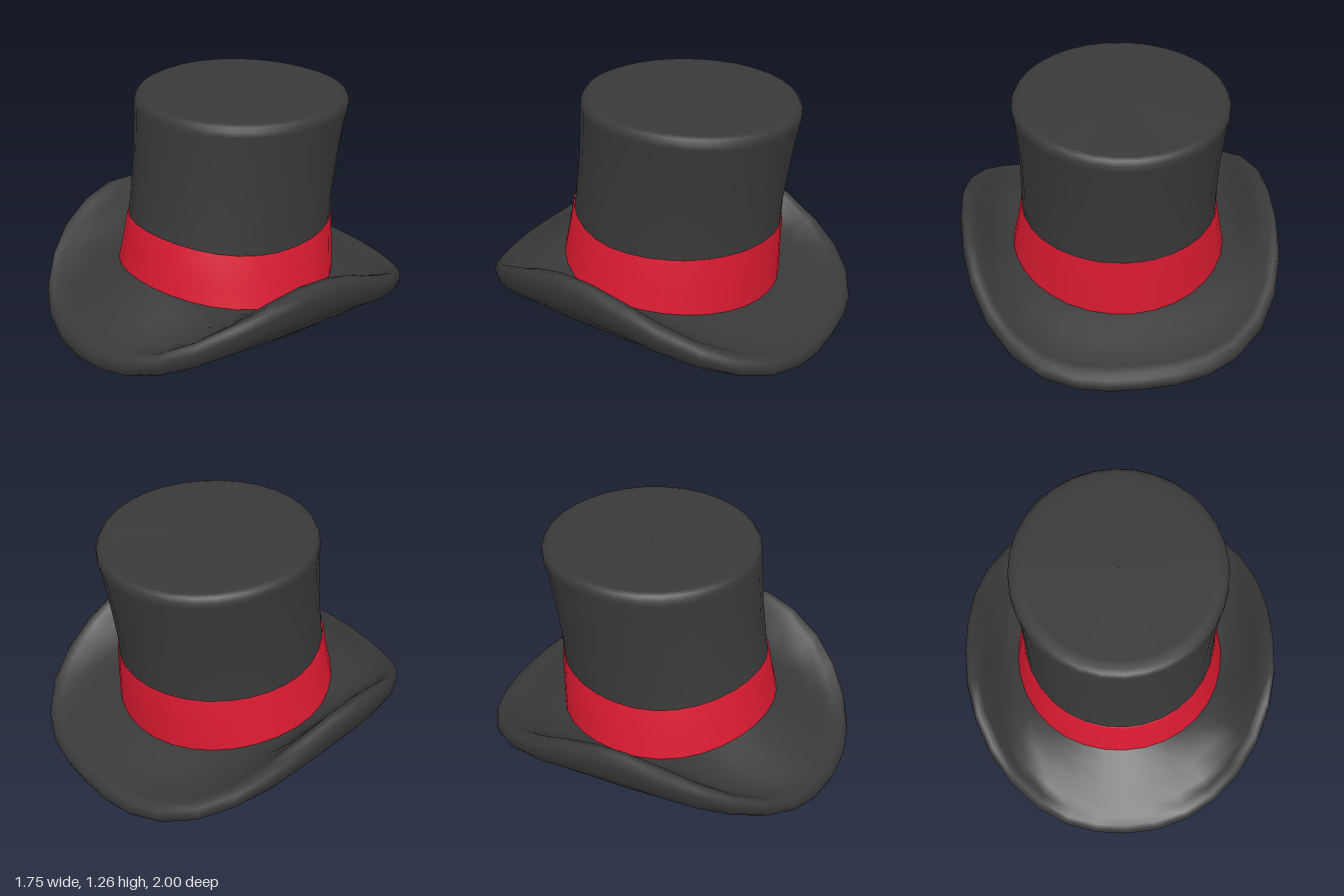
import * as THREE from 'three';

const SEGMENTS = 32;
const PEAK = 0.15; // the sides curl highest slightly ahead of the middle

// One oval ring: half width, front z, back z, heights at side, front and back,
// how quickly the side lift fades to front and back, and how square the back is.
function ringPoint([rx, zf, zb, ySide, yFront, yBack, fadeFront = 1, fadeBack = 1, square = 2], angle) {
  const s = Math.sin(angle), c = Math.cos(angle);
  const e = c > 0 ? 2 + (square - 2) * 0.35 : square;
  const k = Math.pow(Math.pow(Math.abs(s), e) + Math.pow(Math.abs(c), e), -1 / e);
  const ahead = c > PEAK;
  const drop = ahead ? (c - PEAK) / (1 - PEAK) : (PEAK - c) / (1 + PEAK);
  const rise = Math.pow(Math.max(0, 1 - drop * drop), ahead ? fadeFront : fadeBack);
  const yEnd = ahead ? yFront : yBack;
  return [rx * s * k, yEnd + (ySide - yEnd) * rise, (zf + zb) / 2 + ((zf - zb) / 2) * c * k];
}

// Joins the rings into a smooth surface that closes on itself.
function loft(name, rings, material) {
  const positions = [], index = [];
  rings.forEach((ring, i) => {
    for (let j = 0; j < SEGMENTS; j++) {
      positions.push(...ringPoint(ring, (j / SEGMENTS) * Math.PI * 2));
      if (i === rings.length - 1) continue;
      const a = i * SEGMENTS + j, b = i * SEGMENTS + ((j + 1) % SEGMENTS);
      index.push(a, b, a + SEGMENTS, b, b + SEGMENTS, a + SEGMENTS);
    }
  });
  const geometry = new THREE.BufferGeometry();
  geometry.setAttribute('position', new THREE.Float32BufferAttribute(positions, 3));
  geometry.setIndex(index);
  geometry.computeVertexNormals();
  const mesh = new THREE.Mesh(geometry, material);
  mesh.name = name;
  return mesh;
}

export function createModel() {
  const felt = new THREE.MeshStandardMaterial({ color: 0x393939 });
  felt.name = 'charcoal felt';
  const ribbon = new THREE.MeshStandardMaterial({ color: 0xda1a31 });
  ribbon.name = 'red ribbon';

  const hat = new THREE.Group();
  hat.name = 'topHat';

  // Crown: flares toward the top and leans back
  hat.add(loft('crown', [
    [0.532, 0.527, -0.626, 0.535, 0.607, 0.545],
    [0.528, 0.507, -0.632, 0.68, 0.71, 0.68],
    [0.532, 0.479, -0.661, 0.9, 0.91, 0.88],
    [0.548, 0.459, -0.696, 1.12, 1.13, 1.1],
    [0.56, 0.453, -0.713, 1.2, 1.205, 1.17],
    [0.558, 0.45, -0.712, 1.225, 1.232, 1.202],
    [0.545, 0.436, -0.698, 1.246, 1.253, 1.224],
    [0.52, 0.412, -0.673, 1.255, 1.261, 1.231],
    [0.48, 0.37, -0.63, 1.256, 1.262, 1.233],
    [0.001, -0.129, -0.131, 1.25, 1.25, 1.25],
  ], felt));

  // Ribbon band with a thin lip at its top edge
  hat.add(loft('band', [
    [0.592, 0.585, -0.622, 0.255, 0.34, 0.19],
    [0.564, 0.557, -0.627, 0.4, 0.48, 0.38],
    [0.537, 0.533, -0.632, 0.545, 0.617, 0.555],
    [0.53, 0.525, -0.626, 0.547, 0.619, 0.557],
  ], ribbon));

  // Brim: hollow underside, rounded rim, then the top running in under the band
  hat.add(loft('brim', [
    [0.001, -0.029, -0.031, 0.365, 0.365, 0.365],
    [0.3, 0.27, -0.34, 0.36, 0.36, 0.35],
    [0.43, 0.42, -0.48, 0.33, 0.33, 0.3],
    [0.52, 0.53, -0.58, 0.26, 0.26, 0.22],
    [0.59, 0.61, -0.65, 0.18, 0.185, 0.135],
    [0.65, 0.69, -0.72, 0.143, 0.135, 0.08, 1.1, 1.2, 2.1],
    [0.71, 0.78, -0.79, 0.165, 0.09, 0.045, 1.2, 1.3, 2.3],
    [0.77, 0.87, -0.88, 0.22, 0.05, 0.02, 1.2, 1.4, 2.4],
    [0.835, 0.95, -0.95, 0.305, 0.022, 0.003, 1.3, 1.6, 2.5],
    [0.862, 0.985, -0.985, 0.375, 0.037, 0.018, 1.3, 1.7, 2.5],
    [0.873, 1.0, -1.0, 0.44, 0.08, 0.06, 1.3, 1.8, 2.5],
    [0.867, 0.99, -0.992, 0.485, 0.117, 0.1, 1.3, 1.8, 2.5],
    [0.845, 0.968, -0.965, 0.51, 0.145, 0.12, 1.4, 1.8, 2.5],
    [0.805, 0.925, -0.925, 0.51, 0.165, 0.128, 1.9, 2, 2.5],
    [0.765, 0.87, -0.87, 0.45, 0.195, 0.137, 2.3, 2.1, 2.4],
    [0.69, 0.77, -0.78, 0.335, 0.25, 0.16, 2, 1.7, 2.2],
    [0.63, 0.66, -0.69, 0.285, 0.31, 0.19, 1.2, 1.2, 2.1],
    [0.58, 0.575, -0.615, 0.265, 0.35, 0.21],
  ], felt));

  return hat;
}
